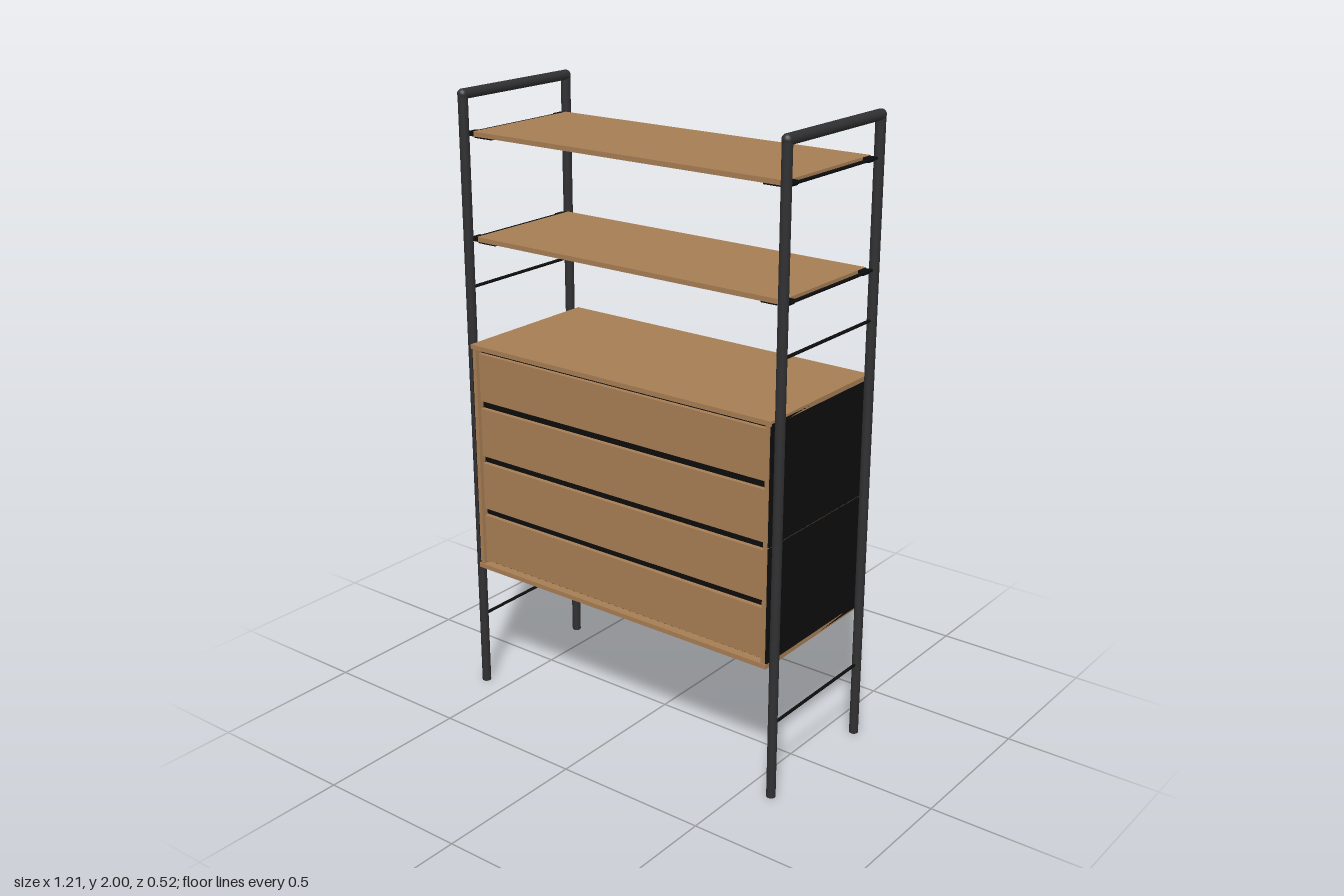
import * as THREE from 'three';

export function createModel() {
  const model = new THREE.Group();
  model.name = 'shelvingUnit';
  const material = (name, color) => {
    const m = new THREE.MeshStandardMaterial({ color });
    m.name = name;
    return m;
  };
  const wood = material('wood', 0xa67d54);
  const steel = material('darkSteel', 0x303032);
  const black = material('black', 0x0d0d0d);

  const add = (name, geometry, mat, x, y, z) => {
    const mesh = new THREE.Mesh(geometry, mat);
    mesh.name = name;
    mesh.position.set(x, y, z);
    model.add(mesh);
    return mesh;
  };
  const box = (name, mat, w, h, d, x, y, z) =>
    add(name, new THREE.BoxGeometry(w, h, d), mat, x, y, z);
  const rod = (name, mat, radius, length, x, y, z) =>
    add(name, new THREE.CylinderGeometry(radius, radius, length, 12).rotateX(Math.PI / 2), mat, x, y, z);

  // Two side frames: round posts, top rail and thin cross rods
  for (const s of [-1, 1]) {
    const x = s * 0.585;
    for (const z of [-0.235, 0.235]) {
      const post = new THREE.CylinderGeometry(0.0155, 0.0145, 1.985, 16);
      add('post', post, steel, x, 0.9925, z);
      add('frameCorner', new THREE.SphereGeometry(0.0165, 16, 10), steel, x, 1.9835, z);
    }
    const rail = rod('topRail', steel, 0.0165, 0.47, x, 1.9835, 0);
    rail.scale.x = 1.1;
    for (const y of [0.247, 1.382, 1.535, 1.862]) {
      rod('crossRod', black, 0.005, 0.485, x, y, -0.0075);
    }

    // Shelf clips resting on the rods
    for (const y of [1.535, 1.862]) {
      for (const z of [-0.19, 0.2]) {
        box('shelfClip', black, 0.022, 0.014, 0.035, s * 0.576, y, z);
        box('shelfBracket', black, 0.07, 0.004, 0.025, s * 0.53, y - 0.01, z);
      }
    }

    // Black cabinet side, in two stacked panels
    for (const y of [0.628, 1.009]) {
      box('sidePanel', black, 0.006, 0.376, 0.51, s * 0.568, y, 0);
    }
    box('cabinetSide', wood, 0.014, 0.742, 0.516, s * 0.559, 0.82, 0);
  }

  // Open shelves
  for (const y of [1.535, 1.862]) box('shelf', wood, 1.138, 0.015, 0.43, 0, y, 0);

  // Cabinet shell
  box('cabinetTop', wood, 1.142, 0.015, 0.52, 0, 1.1975, 0);
  box('cabinetBottom', wood, 1.142, 0.015, 0.52, 0, 0.4425, 0);
  box('cabinetBack', wood, 1.11, 0.742, 0.012, 0, 0.82, -0.252);

  // Dark interior that shows through the gaps between the drawers
  box('drawerGaps', black, 1.104, 0.738, 0.01, 0, 0.82, 0.228);

  // Four drawer fronts, slightly recessed
  for (const [bottom, top] of [[0.461, 0.622], [0.647, 0.805], [0.83, 0.992], [1.018, 1.175]]) {
    box('drawerFront', wood, 1.098, top - bottom, 0.016, 0, (top + bottom) / 2, 0.24);
  }
  return model;
}
